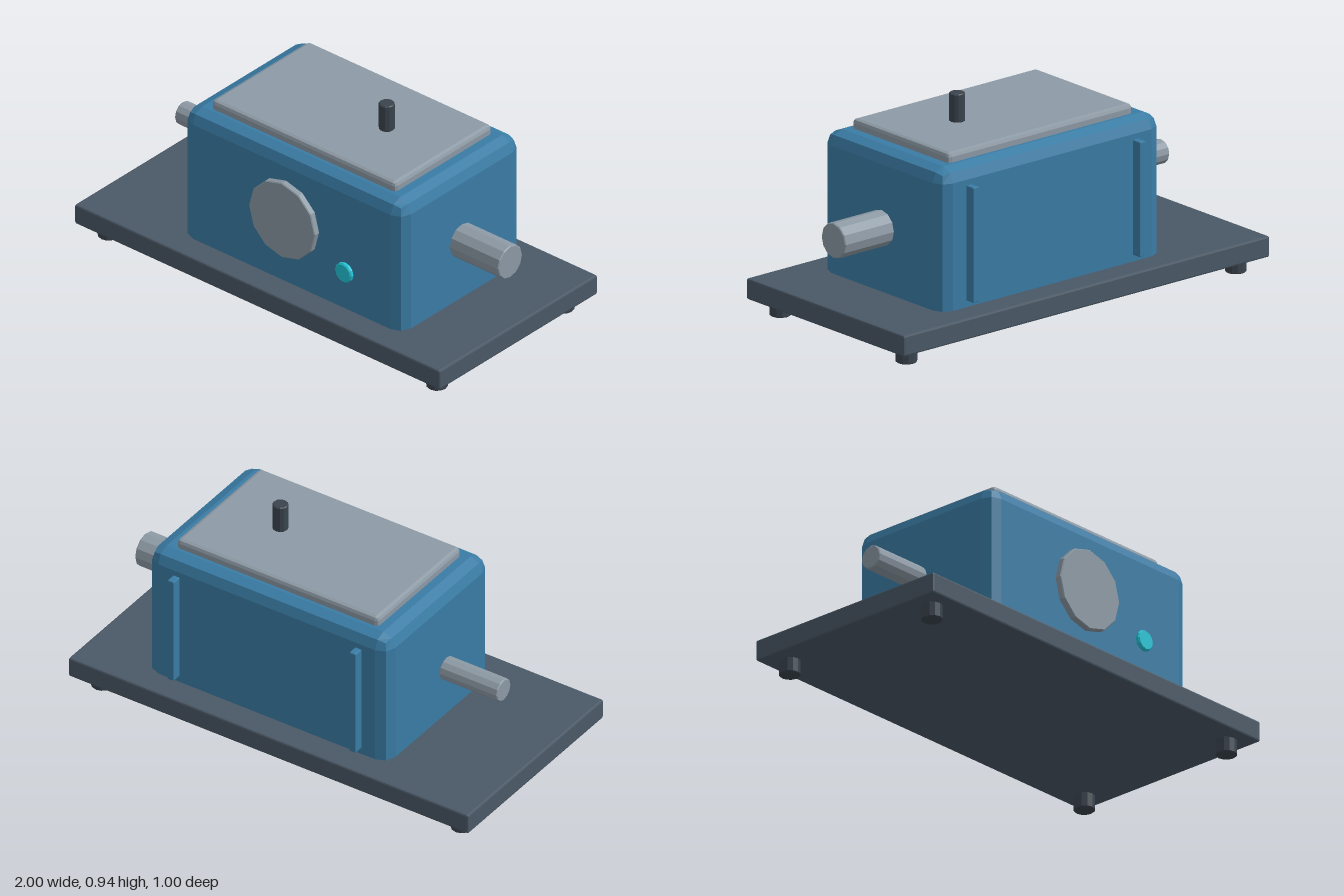
import * as THREE from 'three';
import { RoundedBoxGeometry } from 'three/addons/geometries/RoundedBoxGeometry.js';

const paint = (color) => new THREE.MeshStandardMaterial({ color, flatShading: true });

export function createModel() {
  const model = new THREE.Group();
  const blue = paint(0x3a7ca5);
  const slate = paint(0x4a5866);
  const dark = paint(0x3a444e);
  const metal = paint(0x8d9aa5);
  const cyan = paint(0x22c3d6);

  const add = (name, geometry, material, x, y, z) => {
    const mesh = new THREE.Mesh(geometry, material);
    mesh.name = name;
    mesh.position.set(x, y, z);
    model.add(mesh);
    return mesh;
  };

  // Box given by its lower and upper corners, with chamfered edges
  const block = (name, material, [x0, y0, z0], [x1, y1, z1], radius) =>
    add(name, new RoundedBoxGeometry(x1 - x0, y1 - y0, z1 - z0, 1, radius), material,
      (x0 + x1) / 2, (y0 + y1) / 2, (z0 + z1) / 2);

  // Twelve-sided rod along an axis with slightly bevelled rims
  const rod = (name, material, axis, radius, length, x, y, z, bevel = 0.004) => {
    const h = length / 2;
    const profile = [[0, -h], [radius - bevel, -h], [radius, -h + bevel],
      [radius, h - bevel], [radius - bevel, h], [0, h]].map(([r, v]) => new THREE.Vector2(r, v));
    const geometry = new THREE.LatheGeometry(profile, 12);
    if (axis === 'x') geometry.rotateZ(-Math.PI / 2);
    if (axis === 'z') geometry.rotateX(Math.PI / 2);
    return add(name, geometry, material, x, y, z);
  };

  // Base plate on four feet
  block('basePlate', slate, [-1, 0.065, -0.5], [1, 0.157, 0.5], 0.008);
  for (const x of [-0.9, 0.9]) {
    for (const z of [-0.4, 0.4]) rod('foot', dark, 'y', 0.046, 0.07, x, 0.035, z);
  }

  // Housing, its lower rounding sunk into the plate, and the lid
  block('housing', blue, [-0.515, 0.085, -0.382], [0.69, 0.773, 0.382], 0.06);
  block('lid', metal, [-0.418, 0.75, -0.308], [0.59, 0.815, 0.308], 0.018);

  // Output and input shafts
  rod('outputShaft', metal, 'x', 0.077, 0.29, 0.81, 0.437, 0);
  rod('inputShaft', metal, 'x', 0.052, 0.29, -0.695, 0.437, 0);

  // Breather plug on the lid
  rod('breather', dark, 'y', 0.034, 0.125, 0.278, 0.876, 0);

  // Front inspection cover and sight glass
  rod('inspectionCover', metal, 'z', 0.181, 0.05, 0.057, 0.467, 0.385);
  rod('sightGlass', cyan, 'z', 0.046, 0.022, 0.395, 0.349, 0.404, 0.006);

  // Vertical ribs on the back wall
  for (const x of [-0.37, 0.54]) {
    block('rib', blue, [x - 0.016, 0.185, -0.425], [x + 0.016, 0.688, -0.365], 0.004);
  }

  return model;
}
